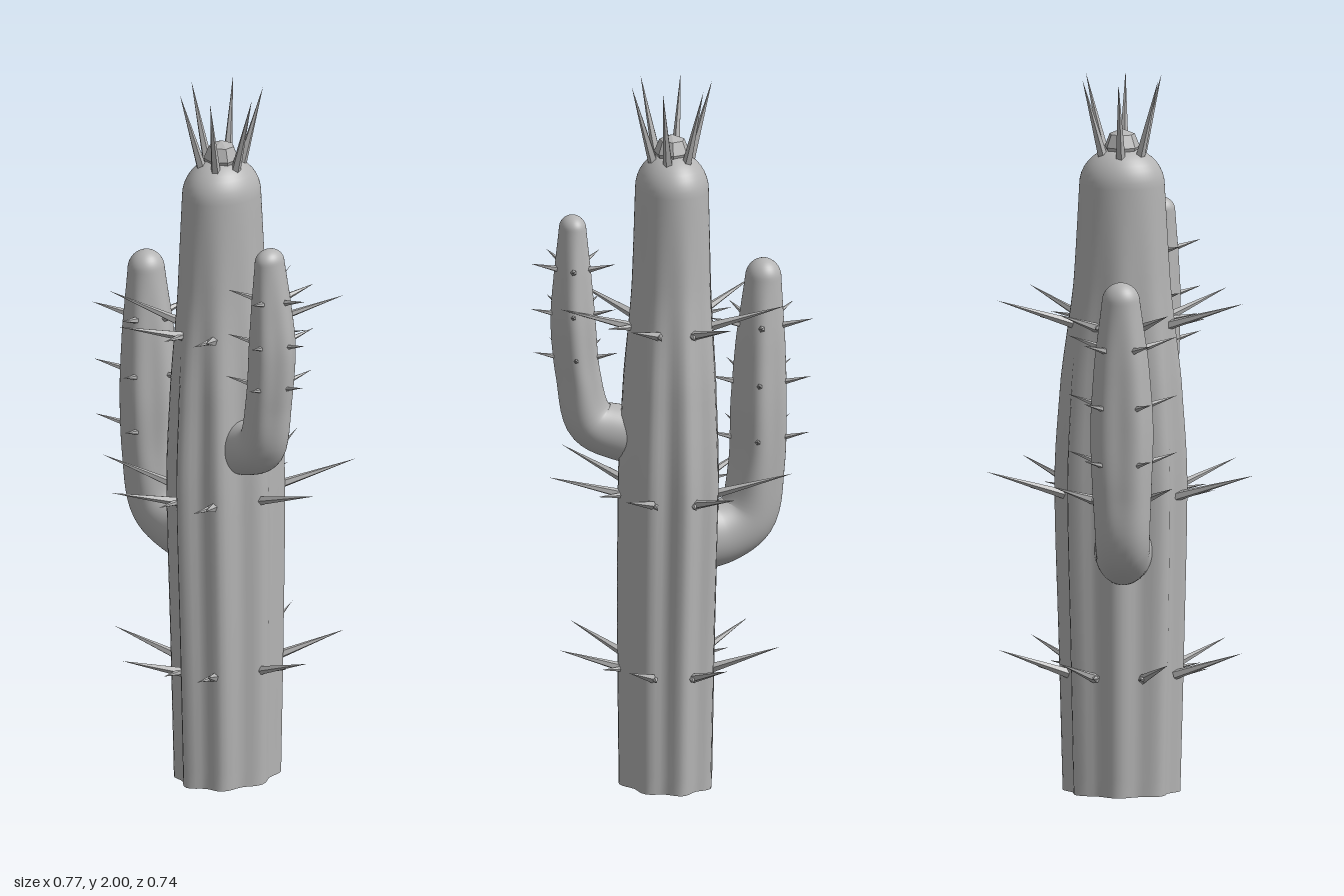
import * as THREE from 'three';

const grey = new THREE.MeshStandardMaterial({ color: 0xb4b4b4 });
grey.name = 'cactus grey';

// Ribbed, round-ended stem. Each station: [x, y, z, radius across, radius in z, rib depth]
function stem(name, stations, ribs, domeHeight, flatBase) {
  const SIDES = 64, STEPS = 40, DOME = 10;
  const path = new THREE.CatmullRomCurve3(stations.map(s => new THREE.Vector3(s[0], s[1], s[2])));
  const sizes = new THREE.CatmullRomCurve3(stations.map(s => new THREE.Vector3(s[3], s[4], s[5])));
  const pos = [], index = [];
  const b = new THREE.Vector3(0, 0, 1);
  let rings = 0;
  const ring = (u, scale, lift) => {
    const t = path.getTangent(u), c = path.getPoint(u).addScaledVector(t, lift), s = sizes.getPoint(u);
    const n = new THREE.Vector3().crossVectors(t, b).normalize();
    const d = new THREE.Vector3().crossVectors(n, t);
    for (let j = 0; j < SIDES; j++) {
      const a = j / SIDES * Math.PI * 2;
      const r = scale * (1 + s.z * Math.cos(ribs * a));
      const p = c.clone().addScaledVector(n, s.x * r * Math.cos(a)).addScaledVector(d, s.y * r * Math.sin(a));
      pos.push(p.x, p.y, p.z);
    }
    rings++;
  };
  // flat underside with a sharp rim
  if (flatBase) { ring(0, 0, 0); ring(0, 1, 0); }
  for (let i = 0; i <= STEPS; i++) ring(i / STEPS, 1, 0);
  // rounded tip
  for (let i = 1; i <= DOME; i++) {
    const a = i / DOME * Math.PI / 2;
    ring(1, Math.max(Math.cos(a), 0.001), Math.sin(a) * domeHeight);
  }
  for (let i = 0; i < rings - 1; i++) {
    if (flatBase && i === 1) continue;
    for (let j = 0; j < SIDES; j++) {
      const p = i * SIDES + j, q = i * SIDES + (j + 1) % SIDES;
      index.push(p, p + SIDES, q, q, p + SIDES, q + SIDES);
    }
  }
  const g = new THREE.BufferGeometry();
  g.setAttribute('position', new THREE.Float32BufferAttribute(pos, 3));
  g.setIndex(index);
  g.computeVertexNormals();
  const mesh = new THREE.Mesh(g, grey);
  mesh.name = name;
  return mesh;
}

// Faceted spine from base to tip
function spine(name, base, tip, radius) {
  const dir = tip.clone().sub(base), len = dir.length();
  const g = new THREE.ConeGeometry(radius, len, 5).toNonIndexed();
  g.computeVertexNormals();
  g.translate(0, len / 2, 0);
  const mesh = new THREE.Mesh(g, grey);
  mesh.name = name;
  mesh.position.copy(base);
  mesh.quaternion.setFromUnitVectors(new THREE.Vector3(0, 1, 0), dir.normalize());
  return mesh;
}

// Ring of long spines, each with an optional short companion
function spineRing(name, count, phase, [cx, y, cz], rx, rz, length, rise, radius, companion) {
  const group = new THREE.Group();
  group.name = name;
  for (let i = 0; i < count; i++) {
    const a = phase + i / count * Math.PI * 2;
    const base = new THREE.Vector3(cx + rx * Math.cos(a), y, cz + rz * Math.sin(a));
    const aim = (turn, len, up) => base.clone().add(
      new THREE.Vector3(Math.cos(a + turn) * len, up, Math.sin(a + turn) * len));
    group.add(spine('spine', base, aim(0, length, rise), radius));
    if (companion) group.add(spine('shortSpine', base, aim(i % 2 ? 0.45 : -0.45, length * 0.48, 0.015), radius * 0.75));
  }
  return group;
}

export function createModel() {
  const model = new THREE.Group();
  model.name = 'cactus';

  // trunk
  model.add(stem('trunk', [
    [0.02, 0, -0.003, 0.125, 0.153, 0.065],
    [0.018, 0.4, -0.003, 0.13, 0.162, 0.07],
    [0.012, 0.85, -0.004, 0.134, 0.171, 0.075],
    [0.008, 1.15, -0.003, 0.125, 0.158, 0.06],
    [0.002, 1.42, 0, 0.109, 0.132, 0.02],
    [0, 1.7, 0, 0.1, 0.118, 0],
  ], 8, 0.105, true));

  // arms
  model.add(stem('leftArm', [
    [0.05, 0.99, 0.02, 0.085, 0.08, 0],
    [0.14, 1.0, 0.04, 0.078, 0.07, 0],
    [0.215, 1.035, 0.06, 0.07, 0.066, 0.01],
    [0.25, 1.17, 0.068, 0.06, 0.066, 0.05],
    [0.264, 1.32, 0.07, 0.06, 0.067, 0.06],
    [0.264, 1.46, 0.075, 0.05, 0.058, 0.04],
    [0.262, 1.585, 0.08, 0.037, 0.045, 0],
  ], 5, 0.038, false));
  model.add(stem('rightArm', [
    [-0.05, 0.69, 0.01, 0.1, 0.085, 0],
    [-0.15, 0.695, 0.015, 0.088, 0.075, 0],
    [-0.222, 0.74, 0.02, 0.084, 0.075, 0.01],
    [-0.25, 0.88, 0.02, 0.076, 0.08, 0.05],
    [-0.256, 1.06, 0.02, 0.074, 0.084, 0.07],
    [-0.262, 1.24, 0.02, 0.066, 0.074, 0.05],
    [-0.27, 1.415, 0.02, 0.05, 0.053, 0],
  ], 5, 0.055, false));

  // trunk spines
  for (const [y, x, k, len] of [[0.33, 0.015, 0.97, 0.195], [0.83, 0.012, 1, 0.225], [1.31, 0.005, 0.87, 0.215]])
    model.add(spineRing('trunkSpines', 7, 0, [x, y, 0], 0.12 * k, 0.155 * k, len, 0.07, 0.014, true));

  // arm spines
  for (const [y, x] of [[1.22, 0.256], [1.345, 0.264], [1.475, 0.264]])
    model.add(spineRing('leftArmSpines', 5, 0, [x, y, 0.07], 0.045, 0.052, 0.078, 0.022, 0.009, false));
  for (const [y, x] of [[0.96, -0.253], [1.12, -0.258], [1.285, -0.264]])
    model.add(spineRing('rightArmSpines', 5, 0, [x, y, 0.02], 0.058, 0.066, 0.093, 0.027, 0.01, false));

  // crown of upright spines around a faceted bud
  model.add(spineRing('crownSpines', 6, 0, [0, 1.765, 0], 0.05, 0.055, 0.066, 0.235, 0.015, false));
  const budGeo = new THREE.SphereGeometry(0.05, 7, 4).toNonIndexed();
  budGeo.computeVertexNormals();
  const bud = new THREE.Mesh(budGeo, grey);
  bud.name = 'crownBud';
  bud.position.y = 1.805;
  model.add(bud);

  return model;
}
